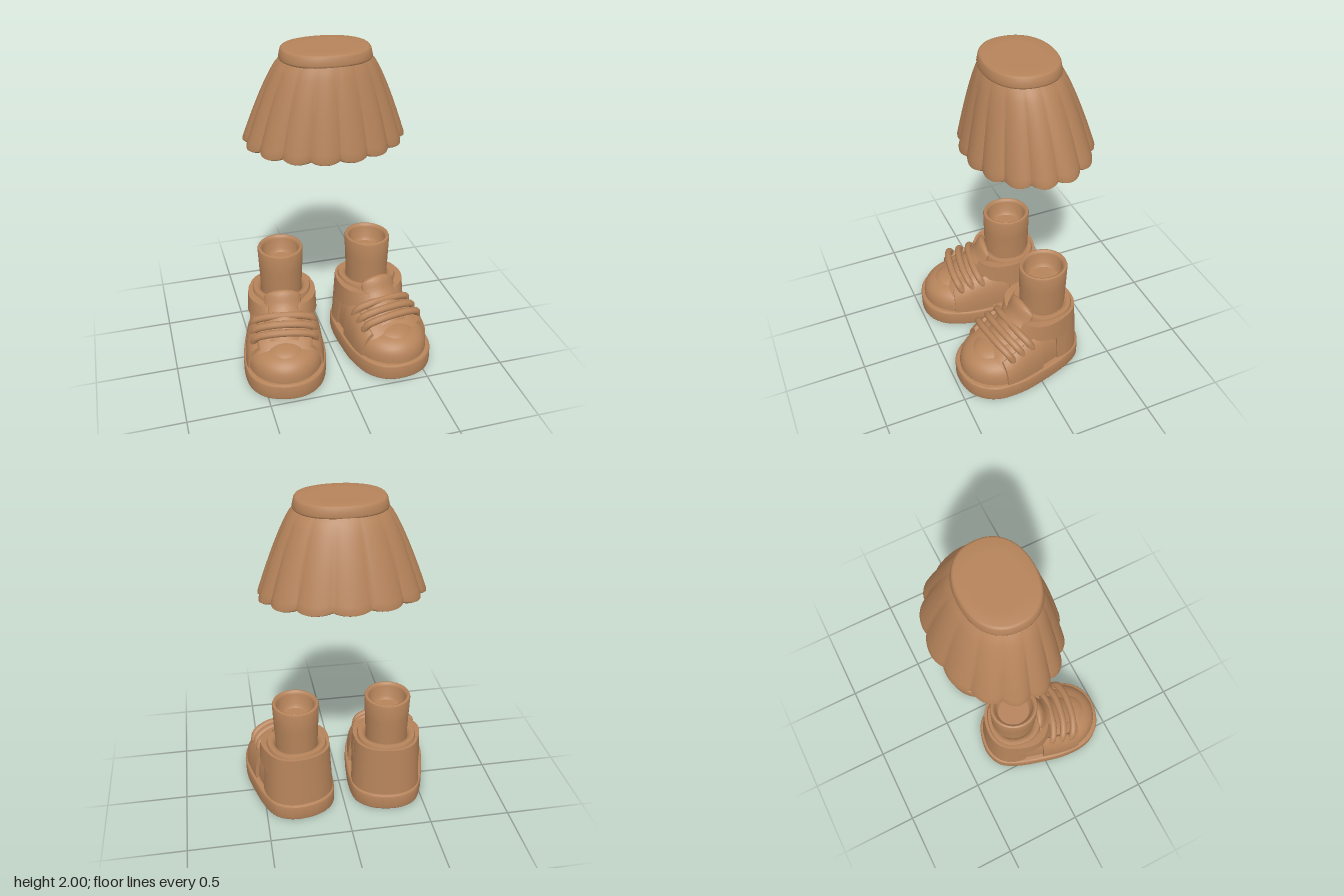
import * as THREE from 'three';
import { toCreasedNormals } from 'three/addons/utils/BufferGeometryUtils.js';

const material = new THREE.MeshStandardMaterial({ color: 0xb5835a, side: THREE.DoubleSide });
const { lerp } = THREE.MathUtils;
const TAU = Math.PI * 2;
const spow = (v, p) => Math.sign(v) * Math.abs(v) ** p;

function addMesh(parent, name, geometry, crease = 0.7) {
  const mesh = new THREE.Mesh(toCreasedNormals(geometry, crease), material);
  mesh.name = name;
  parent.add(mesh);
}

// Surface over an nu x nv grid; fn(u, v, i, j) returns [x, y, z]
function grid(nu, nv, fn) {
  const pos = [], index = [];
  for (let j = 0; j <= nv; j++)
    for (let i = 0; i <= nu; i++) pos.push(...fn(i / nu, j / nv, i, j));
  for (let j = 0; j < nv; j++)
    for (let i = 0; i < nu; i++) {
      const a = j * (nu + 1) + i, b = a + 1, c = a + nu + 1, d = c + 1;
      index.push(a, c, b, b, c, d);
    }
  const g = new THREE.BufferGeometry();
  g.setAttribute('position', new THREE.Float32BufferAttribute(pos, 3));
  g.setIndex(index);
  return g;
}

// Raised panel: the outermost row on every side drops back onto the base surface
function patch(nu, nv, thickness, fn) {
  const inner = (i, n) => (Math.min(Math.max(i, 1), n - 1) - 1) / (n - 2);
  return grid(nu, nv, (u, v, i, j) => {
    const edge = i === 0 || j === 0 || i === nu || j === nv;
    return fn(inner(i, nu), inner(j, nv), edge ? -0.012 : thickness);
  });
}

// Stack of elliptical rings [y, rx, rz, cz]; power below 1 squares the outline
function rings(list, power = 1) {
  return grid(64, list.length - 1, (u, v, i, j) => {
    const [y, rx, rz, cz] = list[j], a = u * TAU;
    return [rx * spow(Math.sin(a), power), y, cz + rz * spow(Math.cos(a), power)];
  });
}

// ---------- skirt ----------
// pleat 1 follows the fifteen lobes, pleat 0 is the smooth inside
function skirtPoint(u, v, inset, pleat) {
  const t = u * TAU, a = t - 0.12 * Math.sin(t);
  const dip = 1 - pleat * Math.abs(Math.sin(7.5 * t)) ** 0.8;
  const s = v ** 0.76, k = 1 - 0.06 * Math.sqrt(v) * dip;
  const hem = 1.437 - 0.026 * Math.cos(a) + 0.016 * dip;
  return [
    (lerp(0.258, 0.489, s) * k - inset) * Math.sin(a),
    lerp(1.945, hem, v),
    lerp(-0.07, -0.11, s) + (lerp(0.212, 0.38, s) * k - inset) * Math.cos(a),
  ];
}

function buildSkirt() {
  const skirt = new THREE.Group();
  skirt.name = 'skirt';
  // [v, inset, pleat]: outside down to the rounded hem and over its edge
  const rows = [];
  for (let i = 0; i <= 14; i++) rows.push([i / 14 * 0.96, 0, 1]);
  rows.push([0.985, 0.004, 1], [1, 0.014, 0.9], [0.99, 0.012, 0.3], [0.97, 0.016, 0]);
  addMesh(skirt, 'pleatedSkirt', grid(180, rows.length - 1, (u, v, i, j) => skirtPoint(u, ...rows[j])), 0.6);

  // Domed inside
  addMesh(skirt, 'skirtLining', grid(90, 14, (u, v) => {
    const [x, y, z] = skirtPoint(u, 0.97, 0.016, 0);
    const e = v * Math.PI / 2, c = Math.max(Math.cos(e), 0) ** 0.6;
    return [x * c, lerp(y, 1.76, Math.sin(e)), -0.11 + (z + 0.11) * c];
  }));

  const band = (y, k) => [y, 0.265 * k, 0.217 * k, -0.07];
  addMesh(skirt, 'waistband', rings([
    band(1.998, 0), band(1.999, 0.6), band(2, 0.9), band(1.997, 0.94), band(1.988, 0.965),
    band(1.965, 0.985), band(1.947, 1), band(1.938, 0.995), band(1.932, 0.96),
  ], 0.9), 1.2);
  return skirt;
}

// ---------- shoe ----------
// Arched cross-sections of the upper: [z, half width, height]
const STATIONS = [[-0.1, 0.205, 0.36], [0, 0.215, 0.365], [0.1, 0.222, 0.35],
  [0.2, 0.226, 0.312], [0.27, 0.217, 0.27], [0.34, 0.19, 0.22]];

function archPoint(t, z, off) {
  let k = 0;
  while (k < STATIONS.length - 2 && z > STATIONS[k + 1][0]) k++;
  const [z0, w0, h0] = STATIONS[k], [z1, w1, h1] = STATIONS[k + 1];
  const f = (z - z0) / (z1 - z0);
  const w = lerp(w0, w1, f) + off, h = lerp(h0, h1, f) + off;
  return [-w * spow(Math.cos(t), 0.6), 0.1 + (h - 0.1) * Math.sin(t) ** 0.75, z];
}

// Ankle part outline; angle 0 faces the toe
function heelPoint(a, y, off) {
  const f = (y - 0.1) / 0.34;
  return [
    (lerp(0.202, 0.184, f) + off) * spow(Math.sin(a), 0.87), y,
    lerp(-0.125, -0.115, f) + (lerp(0.182, 0.173, f) + off) * spow(Math.cos(a), 0.87),
  ];
}

function buildSole() {
  const half = [[0.13, 0.452], [0.218, 0.36], [0.257, 0.2], [0.252, 0.02], [0.228, -0.16], [0.187, -0.265], [0.105, -0.325]];
  const outline = [[0.012, 0.482], ...half, [0, -0.342], ...half.map(([x, z]) => [-x, z]).reverse()];
  const curve = new THREE.CatmullRomCurve3(outline.map(([x, z]) => new THREE.Vector3(x, -z, 0)), true);
  const shape = new THREE.Shape(curve.getPoints(64).slice(0, -1).map(p => new THREE.Vector2(p.x, p.y)));
  return new THREE.ExtrudeGeometry(shape, {
    depth: 0.081, bevelThickness: 0.012, bevelSize: 0.012, bevelOffset: -0.012, bevelSegments: 3,
  }).rotateX(-Math.PI / 2).translate(0, 0.012, 0);
}

function buildShoe(name) {
  const shoe = new THREE.Group();
  shoe.name = name;
  addMesh(shoe, 'sole', buildSole());

  // Boxy rounded toe with a raised vamp on top
  addMesh(shoe, 'toeCap', grid(48, 16, (u, v) => {
    const a = u * TAU, e = (1 - v) * Math.PI / 2;
    const r = Math.max(Math.cos(e), 0) ** 0.68;
    return [0.234 * r * Math.sin(a), 0.095 + 0.157 * Math.sin(e) ** 0.68, 0.2 + 0.26 * r * Math.cos(a)];
  }));
  addMesh(shoe, 'vamp', new THREE.SphereGeometry(1, 32, 16).scale(0.132, 0.06, 0.14).translate(0, 0.208, 0.25));
  addMesh(shoe, 'upper', grid(32, 20, (u, v) => archPoint(u * Math.PI, lerp(-0.1, 0.34, v), 0)));

  // Ankle shell: padded collar against the sock, over the rim, down the outside
  const shell = [[0.4, -0.06], [0.43, -0.052], [0.444, -0.042], [0.45, -0.024], [0.447, -0.006], [0.43, 0], [0.3, 0], [0.1, 0]];
  addMesh(shoe, 'ankleShell', grid(64, shell.length - 1, (u, v, i, j) => heelPoint(u * TAU, ...shell[j])));
  addMesh(shoe, 'heelCounter', patch(36, 8, 0.017, (u, v, off) =>
    heelPoint(lerp(1.45, TAU - 1.45, u), lerp(0.43, 0.1, v), off)));

  for (const s of [-1, 1]) {
    // Lace panel over each side of the upper
    addMesh(shoe, 'sidePanel', patch(16, 12, 0.02, (u, v, off) => {
      const p = archPoint((s < 0 ? u : 1 - u) * 0.95, lerp(0.03, 0.285, v), off);
      return [-s * p[0], p[1], p[2]];
    }));
    // Strap sweeping from the ankle towards the tongue
    addMesh(shoe, 'ankleStrap', patch(20, 8, 1, (u, v, edge) => {
      const f = s > 0 ? 1 - u : u; // 1 at the front end
      const off = edge > 0 ? lerp(0.019, 0.036, Math.sin(f * Math.PI)) : -0.012;
      const p = heelPoint(s * lerp(1.75, 0.42, f), lerp(0.432 - 0.02 * f * f, lerp(0.29, 0.335, f), v), off);
      p[2] += 0.03 * f + 0.045 * f * f * v;
      return p;
    }));
  }

  // Padded tongue along a rising spine
  const spine = new THREE.CatmullRomCurve3([[0.26, 0.27], [0.17, 0.33], [0.09, 0.395], [0.055, 0.455], [0.035, 0.48]]
    .map(([z, y]) => new THREE.Vector3(0, y, z)));
  addMesh(shoe, 'tongue', grid(28, 24, (u, v) => {
    const a = u * TAU, c = spine.getPoint(v), t = spine.getTangent(v);
    const end = Math.max(0.02, Math.sqrt(Math.max(0, 1 - Math.max(0, (v - 0.75) / 0.25) ** 2)));
    const x = -lerp(0.125, 0.108, v) * end * Math.sin(a);
    const d = 0.026 * end * Math.cos(a) - x * x * 2.2;
    return [x, c.y - t.z * d + 0.02 * v, c.z + t.y * d];
  }), 1.2);

  // Three laces arched over the tongue
  [[0.27, 0.345], [0.2, 0.358], [0.13, 0.375]].forEach(([z, y]) => {
    const path = new THREE.CatmullRomCurve3([
      [-0.19, -0.085, -0.04], [-0.175, -0.045, -0.022], [-0.1, -0.01, 0], [0, 0, 0.006],
      [0.1, -0.01, 0], [0.175, -0.045, -0.022], [0.19, -0.085, -0.04],
    ].map(([dx, dy, dz]) => new THREE.Vector3(dx, y + dy, z + dz)));
    addMesh(shoe, 'lace', new THREE.TubeGeometry(path, 36, 0.023, 10), 1);
    for (const end of [path.getPoint(0), path.getPoint(1)])
      addMesh(shoe, 'laceEnd', new THREE.SphereGeometry(0.023, 10, 8).translate(end.x, end.y, end.z), 1);
  });

  // Hollow sock, slightly flared at the top
  addMesh(shoe, 'sock', rings([
    [0.62, 0, 0], [0.62, 0.09, 0.1], [0.64, 0.108, 0.115], [0.71, 0.112, 0.12],
    [0.724, 0.118, 0.126], [0.73, 0.128, 0.136], [0.726, 0.138, 0.147],
    [0.715, 0.142, 0.151], [0.6, 0.137, 0.149], [0.45, 0.13, 0.146], [0.36, 0.13, 0.146],
  ].map(ring => [...ring, -0.117])));
  return shoe;
}

export function createModel() {
  const model = new THREE.Group();
  model.name = 'skirtAndShoes';
  model.add(buildSkirt());
  // The shoe is symmetric, so each side only needs its own toe-out turn
  for (const [name, s] of [['leftShoe', 1], ['rightShoe', -1]]) {
    const shoe = buildShoe(name);
    shoe.position.x = s * 0.306;
    shoe.rotation.y = s * 0.175;
    model.add(shoe);
  }
  return model;
}
